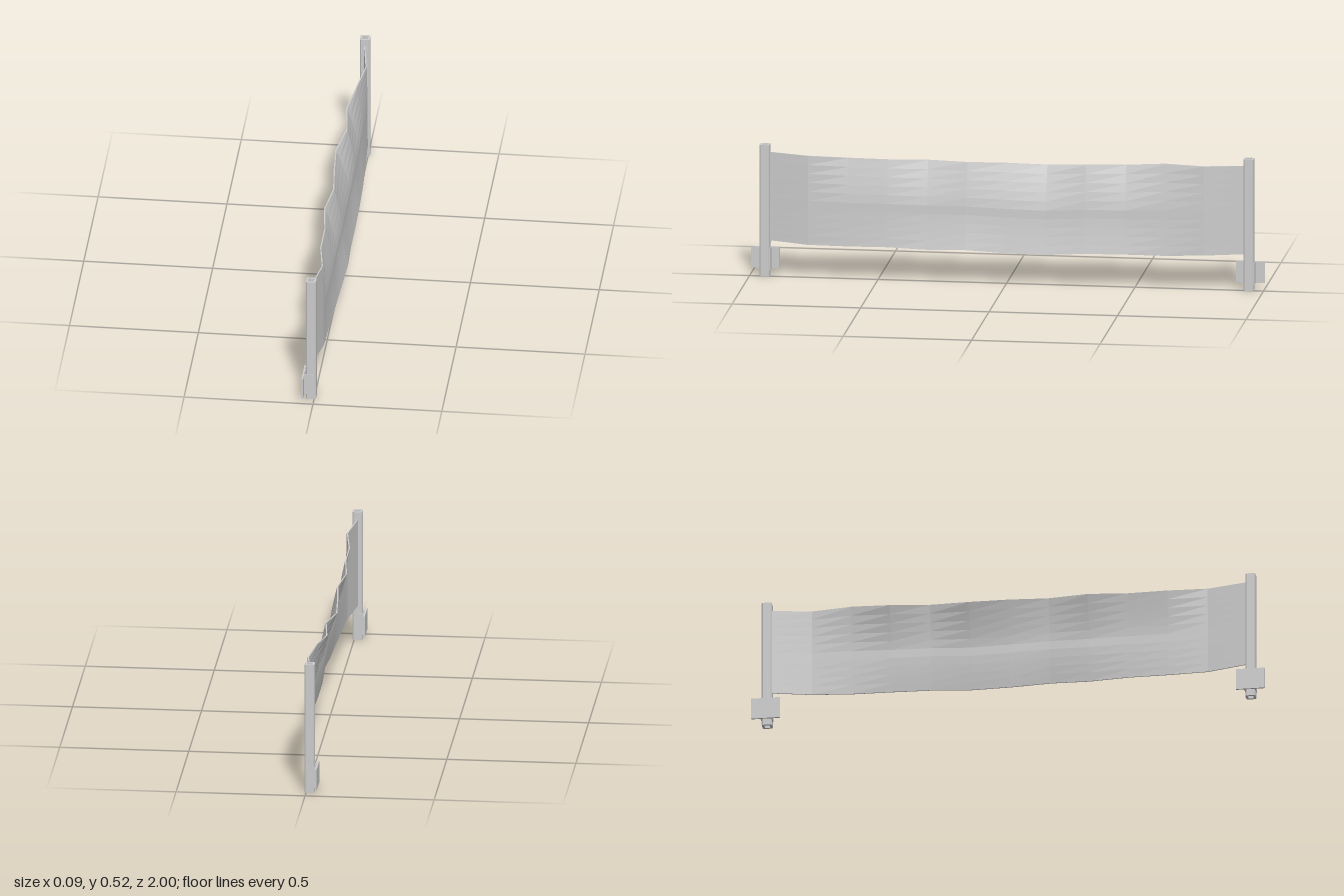
import * as THREE from 'three';

// Banner samples at 13 evenly spaced stations, from -z to +z
const TOP_Y = [0.49, 0.488, 0.49, 0.476, 0.475, 0.465, 0.47, 0.472, 0.472, 0.473, 0.475, 0.483, 0.489];
const BOTTOM_Y = [0.141, 0.137, 0.133, 0.135, 0.134, 0.125, 0.127, 0.136, 0.131, 0.135, 0.132, 0.132, 0.14];
const TOP_X = [-0.013, 0.01, -0.008, -0.031, -0.013, -0.039, -0.028, -0.013, -0.031, -0.013, -0.012, 0.011, -0.013];
const MID_X = [-0.013, 0.013, 0.014, 0.014, 0.017, 0.014, 0.015, 0.018, 0.014, 0.016, 0.014, 0.013, -0.013];
const BOTTOM_X = [-0.013, 0.014, 0.022, 0.03, 0.034, 0.034, 0.034, 0.04, 0.033, 0.027, 0.02, 0.014, -0.013];

const POST_X = -0.0125;
const POST_Z = 0.942;

function chamferedSquare(half, cut, PathType) {
  const a = half, b = half - cut;
  const path = new PathType();
  path.setFromPoints([[a, -b], [a, b], [b, a], [-b, a], [-a, b], [-a, -b], [-b, -a], [b, -a]]
    .map(([x, y]) => new THREE.Vector2(x, y)));
  path.closePath();
  return path;
}

// Sagging sheet: its top edge leans to -x and its bottom edge flares to +x
function bannerGeometry() {
  const length = 1.85, columns = 12;
  let geometry = new THREE.BoxGeometry(0.005, 1, length, 1, 10, columns);
  const p = geometry.attributes.position;
  for (let i = 0; i < p.count; i++) {
    const v = p.getY(i) + 0.5;
    const k = Math.round((p.getZ(i) / length + 0.5) * columns);
    const up = Math.max(0, (v - 0.5) / 0.5) ** 1.3;
    const down = Math.max(0, (0.45 - v) / 0.45) ** 1.4;
    const x = MID_X[k] + (TOP_X[k] - MID_X[k]) * up + (BOTTOM_X[k] - MID_X[k]) * down;
    p.setXYZ(i, p.getX(i) + x, THREE.MathUtils.lerp(BOTTOM_Y[k], TOP_Y[k], v), p.getZ(i));
  }
  geometry = geometry.toNonIndexed();
  geometry.computeVertexNormals();
  return geometry;
}

export function createModel() {
  const grey = new THREE.MeshStandardMaterial({ color: 0xcccccc });
  grey.name = 'light grey';
  const model = new THREE.Group();
  model.name = 'banner barrier';

  const add = (parent, name, geometry, x, y, z) => {
    const mesh = new THREE.Mesh(geometry, grey);
    mesh.name = name;
    mesh.position.set(x, y, z);
    parent.add(mesh);
    return mesh;
  };

  add(model, 'banner', bannerGeometry(), 0, 0, 0);

  // Hollow tube profile for the posts
  const profile = chamferedSquare(0.0195, 0.005, THREE.Shape);
  profile.holes.push(chamferedSquare(0.011, 0.002, THREE.Path));
  const postGeometry = new THREE.ExtrudeGeometry(profile, { depth: 0.519, bevelEnabled: false });
  postGeometry.rotateX(-Math.PI / 2);

  for (const side of [1, -1]) {
    const end = new THREE.Group();
    end.name = side > 0 ? 'frontEnd' : 'backEnd';
    end.position.z = side * POST_Z;
    model.add(end);
    add(end, 'post', postGeometry, POST_X, 0, 0);

    // Mounting bracket: a plate behind the post with a cheek on each side
    add(end, 'mountingPlate', new THREE.BoxGeometry(0.007, 0.085, 0.112), -0.0415, 0.0655, side * 0.002);
    for (const s of [1, -1]) {
      add(end, 'bracketCheek', new THREE.BoxGeometry(0.037, 0.085, 0.004), -0.0205, 0.0655, s * 0.0205);
    }
  }
  return model;
}
